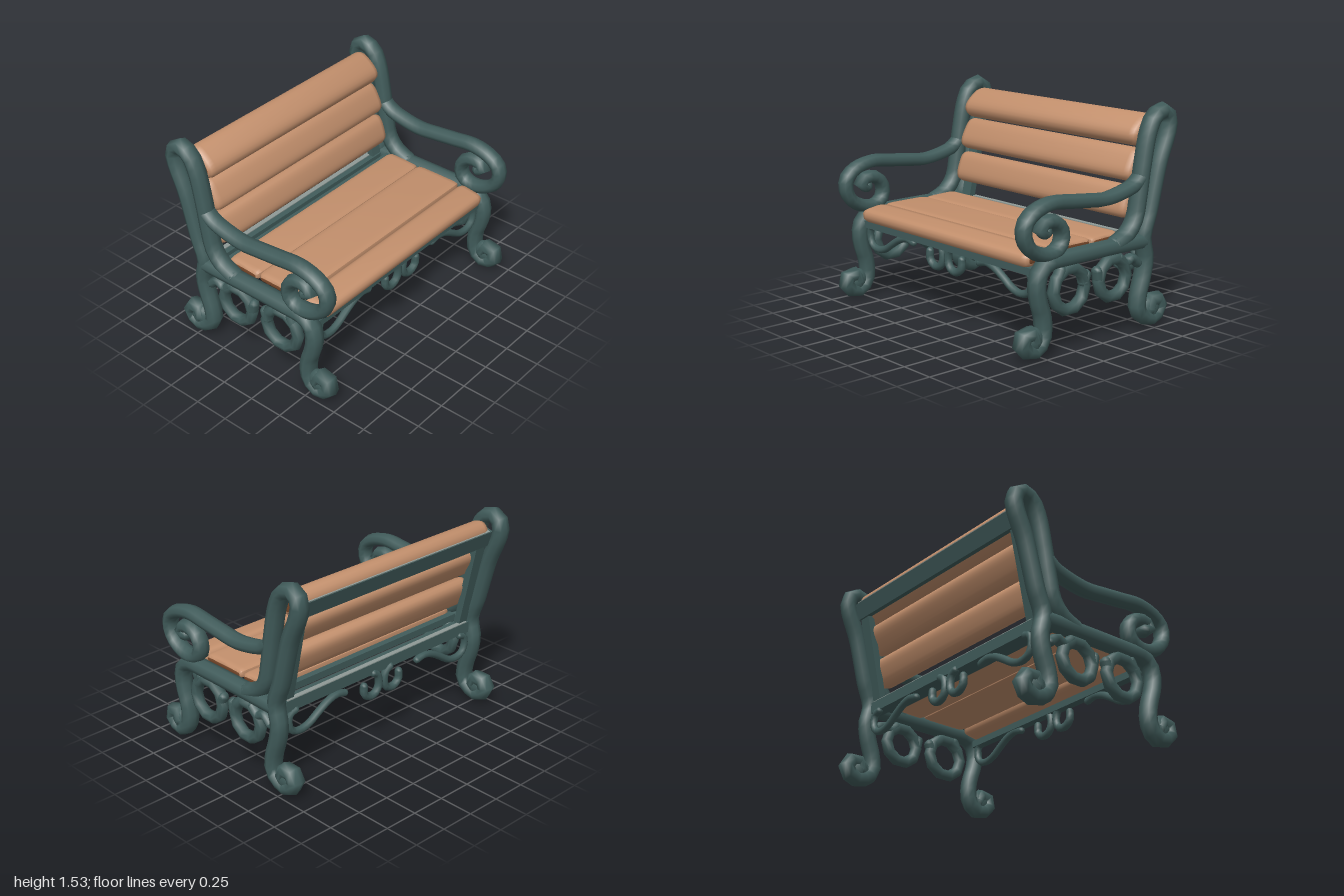
import * as THREE from 'three';
import { toCreasedNormals } from 'three/addons/utils/BufferGeometryUtils.js';

function paint(name, color) {
  const material = new THREE.MeshStandardMaterial({ color });
  material.name = name;
  return material;
}
const iron = paint('dark green iron', 0x415c5b);
const wood = paint('warm wood', 0xc28f6c);
const endGrain = paint('dark end grain', 0x7a4a2c);
const worn = paint('worn grey iron', 0x8f9a96);

function add(parent, name, geometry, material) {
  const mesh = new THREE.Mesh(geometry, material);
  mesh.name = name;
  parent.add(mesh);
  return mesh;
}

// Bent round bar through 3D points, with rounded ends; depth stretches it along x
function bar(parent, name, points, r, depth = r) {
  const group = new THREE.Group();
  group.name = name;
  const curve = new THREE.CatmullRomCurve3(points, false, 'centripetal');
  add(group, name + 'Bar', new THREE.TubeGeometry(curve, points.length * 2, r, 8), iron);
  for (const p of [points[0], points[points.length - 1]]) {
    add(group, name + 'End', new THREE.SphereGeometry(r * 0.98, 8, 6), iron).position.copy(p);
  }
  group.scale.x = depth / r;
  parent.add(group);
}

// Bar lying in the side plane, given as [z, y] pairs
const sideBar = (parent, name, zy, r, depth = 0.065) =>
  bar(parent, name, zy.map(([z, y]) => new THREE.Vector3(0, y, z)), r, depth);

// Plank running along x with chamfered ends; a higher roundness gives a fuller belly
function slat(parent, name, z, y, width, thick, tilt, roundness) {
  const bevel = Math.min(0.035, thick * 0.3), length = 1.64;
  const power = (v) => Math.sign(v) * Math.abs(v) ** roundness;
  const outline = [];
  for (let i = 0; i < 24; i++) {
    const a = (i / 24) * Math.PI * 2;
    outline.push(new THREE.Vector2((width / 2 - bevel) * power(Math.cos(a)), (thick / 2 - bevel) * power(Math.sin(a))));
  }
  const geo = new THREE.ExtrudeGeometry(new THREE.Shape(outline), {
    depth: length, bevelThickness: 0.05, bevelSize: bevel, bevelSegments: 2,
  });
  geo.translate(0, 0, -length / 2);
  geo.rotateY(Math.PI / 2);
  const mesh = add(parent, name, toCreasedNormals(geo, 0.9), [endGrain, wood]);
  mesh.position.set(0, y, z);
  mesh.rotation.x = tilt;
}

function box(parent, name, w, h, d, x, y, z, tilt = 0, material = iron) {
  const mesh = add(parent, name, new THREE.BoxGeometry(w, h, d), material);
  mesh.position.set(x, y, z);
  mesh.rotation.x = tilt;
}

function sideFrame(side) {
  const frame = new THREE.Group();
  frame.name = side > 0 ? 'leftFrame' : 'rightFrame';
  // Armrest ending in a scroll
  sideBar(frame, 'armrest', [
    [-0.39, 1.05], [-0.33, 1.005], [-0.22, 0.972], [-0.06, 0.95], [0.08, 0.962], [0.25, 0.98], [0.42, 0.995],
    [0.56, 0.96], [0.635, 0.9], [0.648, 0.82], [0.605, 0.735], [0.51, 0.68], [0.41, 0.67],
    [0.34, 0.71], [0.322, 0.79], [0.365, 0.86], [0.44, 0.885], [0.505, 0.865], [0.515, 0.83], [0.475, 0.82],
  ], 0.048, 0.063);
  // Looped back post running down into the rear leg and its scroll foot
  sideBar(frame, 'backPostAndLeg', [
    [-0.16, 0.63], [-0.27, 0.68], [-0.345, 0.77], [-0.38, 0.92], [-0.413, 1.12], [-0.465, 1.35],
    [-0.52, 1.445], [-0.61, 1.475], [-0.66, 1.42], [-0.655, 1.34], [-0.575, 1.14], [-0.525, 0.96],
    [-0.483, 0.8], [-0.43, 0.64], [-0.457, 0.5], [-0.44, 0.38], [-0.4, 0.25], [-0.395, 0.14],
    [-0.45, 0.085], [-0.53, 0.063], [-0.607, 0.12], [-0.575, 0.185], [-0.51, 0.18], [-0.5, 0.13],
  ], 0.057);
  // Seat rail bending down into the front leg and its scroll foot
  sideBar(frame, 'seatRailAndLeg', [
    [-0.42, 0.615], [-0.1, 0.62], [0.3, 0.62], [0.44, 0.615], [0.51, 0.57], [0.535, 0.48],
    [0.52, 0.38], [0.485, 0.27], [0.482, 0.15], [0.52, 0.085], [0.585, 0.06], [0.664, 0.12],
    [0.64, 0.178], [0.58, 0.175], [0.565, 0.13],
  ], 0.057);
  // Solid hearts of the scroll feet
  for (const z of [0.57, -0.51]) {
    const heart = add(frame, 'footHeart', new THREE.SphereGeometry(0.09, 10, 8), iron);
    heart.scale.x = 0.65;
    heart.position.set(0, 0.13, z);
  }
  // Rings hanging below the rail
  for (const [z, r] of [[0.252, 0.14], [-0.145, 0.13]]) {
    const ring = add(frame, 'ring', new THREE.TorusGeometry(r, 0.042, 8, 10), iron);
    ring.rotation.y = Math.PI / 2;
    ring.position.set(0, 0.41, z);
  }
  for (const tip of [[[0.125, 0.43], [0.105, 0.48]], [[0.36, 0.49], [0.33, 0.55]], [[-0.01, 0.43], [0.0, 0.48]]]) {
    sideBar(frame, 'ringTip', tip, 0.036, 0.042);
  }
  sideBar(frame, 'legBrace', [[-0.2, 0.54], [-0.26, 0.49], [-0.32, 0.515], [-0.38, 0.47]], 0.034, 0.042);
  frame.position.x = side * 0.935;
  return frame;
}

// Wrought scrolls below the seat, mirrored about the middle
function apron(z, name) {
  const group = new THREE.Group();
  group.name = name;
  const sCurve = [[0.79, 0.55], [0.84, 0.53], [0.85, 0.46], [0.82, 0.405], [0.75, 0.385], [0.67, 0.405],
    [0.59, 0.455], [0.5, 0.505], [0.42, 0.525], [0.35, 0.51]];
  const curl = [[0.08, 0.56], [0.04, 0.535], [0.026, 0.46], [0.05, 0.41], [0.11, 0.392],
    [0.165, 0.43], [0.168, 0.49]];
  for (const side of [-1, 1]) {
    const to3 = ([x, y]) => new THREE.Vector3(side * x, y, 0);
    bar(group, 'longScroll', sCurve.map(to3), 0.026);
    bar(group, 'centreCurl', curl.map(to3), 0.028);
  }
  group.position.z = z;
  return group;
}

export function createModel() {
  const model = new THREE.Group();
  model.name = 'gardenBench';
  model.add(sideFrame(1), sideFrame(-1), apron(0.5, 'frontApron'), apron(-0.45, 'rearApron'));

  // Seat planks
  slat(model, 'seatSlatFront', 0.465, 0.635, 0.205, 0.1, 0.14, 0.45);
  slat(model, 'seatSlatMiddle', 0.173, 0.657, 0.37, 0.07, 0, 0.35);
  slat(model, 'seatSlatRear', -0.15, 0.655, 0.265, 0.07, 0.03, 0.35);

  // Backrest planks, leaning backwards
  slat(model, 'backSlatLow', -0.385, 0.87, 0.225, 0.12, Math.PI / 2 - 0.35, 0.7);
  slat(model, 'backSlatMiddle', -0.44, 1.115, 0.235, 0.125, Math.PI / 2 - 0.5, 0.7);
  slat(model, 'backSlatTop', -0.51, 1.343, 0.25, 0.155, Math.PI / 2 - 0.9, 0.75);

  // Iron frame behind the backrest and bars under the seat
  for (const side of [-1, 1]) {
    box(model, 'backFrameUpright', 0.09, 0.8, 0.05, side * 0.84, 0.98, -0.49, -0.21);
  }
  box(model, 'backFrameTop', 1.78, 0.12, 0.06, 0, 1.325, -0.585, -0.3);
  box(model, 'backFrameTopEdge', 1.72, 0.006, 0.055, 0, 1.387, -0.604, -0.3, worn);
  box(model, 'backFrameBottom', 1.76, 0.08, 0.08, 0, 0.595, -0.42);
  box(model, 'backFrameBottomEdge', 1.72, 0.006, 0.035, 0, 0.638, -0.44, 0, worn);
  box(model, 'seatRearBar', 1.76, 0.05, 0.06, 0, 0.63, -0.3);
  box(model, 'frontBar', 1.76, 0.05, 0.06, 0, 0.555, 0.5);
  return model;
}
